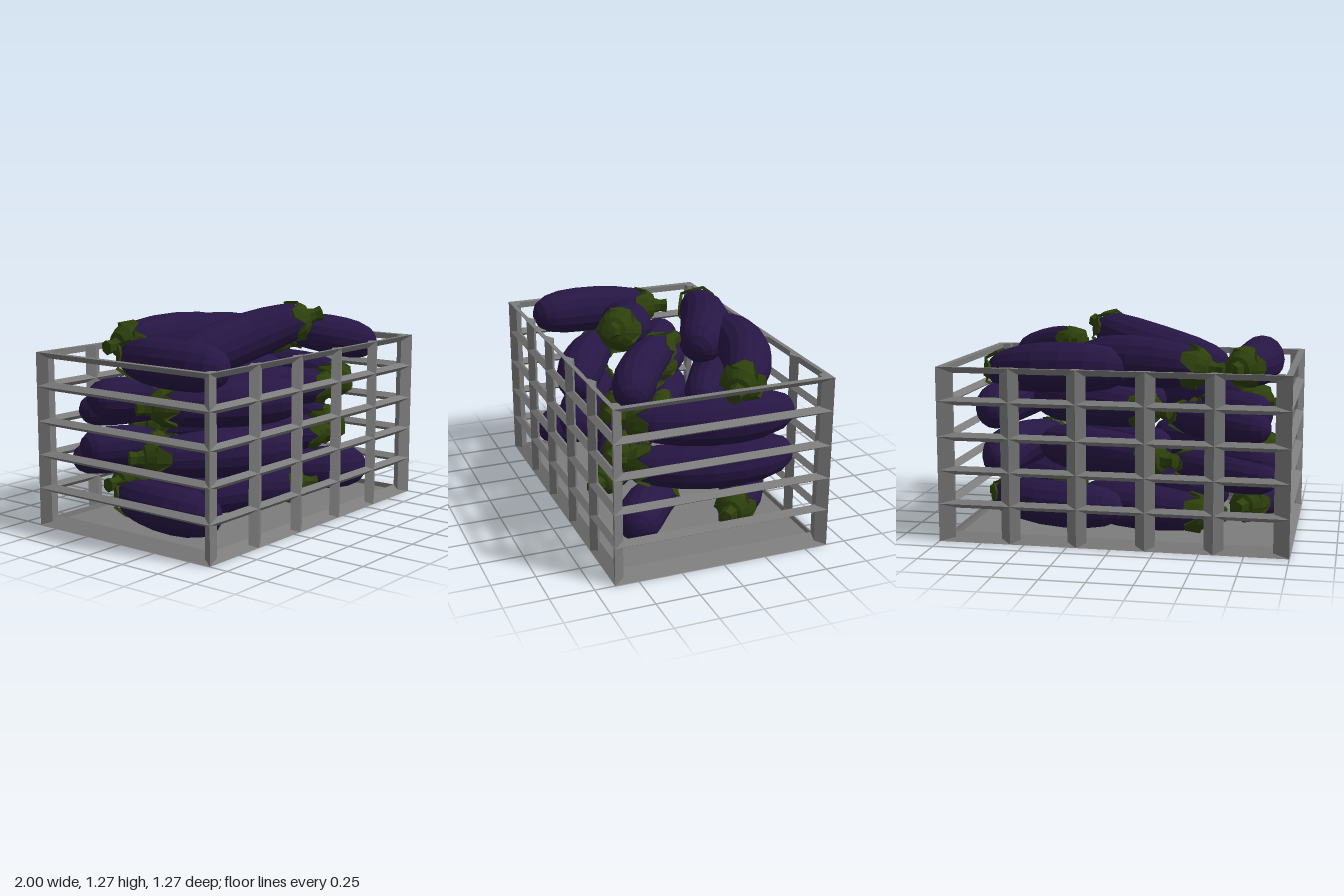
import * as THREE from 'three';

const crateMat = new THREE.MeshStandardMaterial({ color: 0x7c7c7c, flatShading: true });
const skinMat = new THREE.MeshStandardMaterial({ color: 0x261644, flatShading: true });
const leafMat = new THREE.MeshStandardMaterial({ color: 0x2d400c, flatShading: true });

const HX = 1, HZ = 0.635, DX = 0.085, DZ = 0.057, TOP = 1.01;
const v2 = (list) => list.map(([x, y]) => new THREE.Vector2(x, y));

function addMesh(group, name, geometry, material) {
  const mesh = new THREE.Mesh(geometry, material);
  mesh.name = name;
  group.add(mesh);
  return mesh;
}

// Horizontal bar on one side of the crate; section is [fraction inwards, height], ends are mitred
function railGeometry(section, side) {
  const onX = side % 2 === 0;
  const [half, depth, otherHalf, otherDepth] = onX ? [HX, DX, HZ, DZ] : [HZ, DZ, HX, DX];
  const shape = new THREE.Shape(v2(section.map(([f, y]) => [half - f * depth, y])));
  const geo = new THREE.ExtrudeGeometry(shape, { depth: 2, bevelEnabled: false }).translate(0, 0, -1);
  const p = geo.attributes.position;
  for (let i = 0; i < p.count; i++) {
    const inward = (half - p.getX(i)) / depth;
    p.setZ(i, p.getZ(i) * (otherHalf - inward * otherDepth));
  }
  return geo.rotateY((-Math.PI / 2) * side);
}

// Upright bar from a section in x and z
function postGeometry(section) {
  const shape = new THREE.Shape(v2(section.map(([x, z]) => [x, -z])));
  return new THREE.ExtrudeGeometry(shape, { depth: TOP, bevelEnabled: false }).rotateX(-Math.PI / 2);
}

function createCrate() {
  const crate = new THREE.Group();
  crate.name = 'crate';
  const floor = addMesh(crate, 'floor', new THREE.BoxGeometry(2 * (HX - DX), 0.02, 2 * (HZ - DZ)), crateMat);
  floor.position.y = 0.01;
  for (let side = 0; side < 4; side++) {
    addMesh(crate, 'bottomRail', railGeometry([[0, 0], [1, 0], [1, 0.05]], side), crateMat);
    addMesh(crate, 'topRail', railGeometry([[0, TOP], [0.45, TOP], [0.45, TOP - 0.035]], side), crateMat);
    for (const y of [0.22, 0.415, 0.61, 0.815]) {
      addMesh(crate, 'rail', railGeometry([[0, y], [0.5, y + 0.025], [1, y], [0.5, y - 0.025]], side), crateMat);
    }
  }
  for (const s of [-1, 1]) {
    for (const x of [-0.58, -0.195, 0.195, 0.58]) {
      addMesh(crate, 'post', postGeometry([
        [x, s * HZ], [x + 0.056, s * (HZ - DZ / 2)], [x, s * (HZ - DZ)], [x - 0.056, s * (HZ - DZ / 2)],
      ]), crateMat);
    }
    for (const t of [-1, 1]) {
      addMesh(crate, 'cornerPost', postGeometry([
        [s * HX, t * HZ], [s * 0.91, t * 0.61], [s * 0.915, t * 0.578], [s * 0.965, t * 0.575],
      ]), crateMat);
    }
  }
  return crate;
}

// Bends a geometry standing along y onto a curve; y = 0 is the stem end, y = length the blunt end
function bendAlong(geo, curve, length) {
  const p = geo.attributes.position, v = new THREE.Vector3(), up = new THREE.Vector3(0, 1, 0);
  for (let i = 0; i < p.count; i++) {
    v.fromBufferAttribute(p, i);
    const t = THREE.MathUtils.clamp(v.y / length, 0, 1);
    const tangent = curve.getTangent(t);
    const n = new THREE.Vector3().crossVectors(tangent, up).normalize();
    const b = new THREE.Vector3().crossVectors(n, tangent);
    const q = curve.getPoint(t).addScaledVector(tangent, v.y - t * length)
      .addScaledVector(n, v.x).addScaledVector(b, v.z);
    p.setXYZ(i, q.x, q.y, q.z);
  }
  geo.computeVertexNormals();
  return geo;
}

function createEggplant([sx, sy, sz], [ex, ey, ez], bend, r) {
  const group = new THREE.Group();
  group.name = 'eggplant';
  const start = new THREE.Vector3(sx, sy, sz), end = new THREE.Vector3(ex, ey, ez);
  const mid = start.clone().lerp(end, 0.5).add(new THREE.Vector3(...bend));
  const curve = new THREE.QuadraticBezierCurve3(start, mid, end);
  const length = curve.getLength();

  // Plump body, a little narrower at the neck
  const profile = [[0, 0], [0.42, 0.005], [0.66, 0.05], [0.82, 0.14], [0.93, 0.28], [0.99, 0.45], [1, 0.62],
    [0.96, 0.76], [0.83, 0.88], [0.6, 0.955], [0.3, 0.99], [0, 1]];
  const body = new THREE.LatheGeometry(v2(profile.map(([a, t]) => [a * r, t * length])), 16);
  addMesh(group, 'body', bendAlong(body, curve, length), skinMat);

  // Calyx whose rim is cut into five square lobes
  const calyx = new THREE.LatheGeometry(v2([[0.25, -0.025], [0.5, -0.015], [0.74, 0.03], [0.88, 0.1], [0.74, 0.1]]
    .map(([a, y]) => [a * r, y])), 15);
  const p = calyx.attributes.position;
  for (let i = 0; i < p.count; i++) {
    const column = Math.floor(i / 5);
    if (i % 5 >= 3 && column % 3 === 2) p.setY(i, 0.035);
  }
  addMesh(group, 'calyx', bendAlong(calyx, curve, length), leafMat);

  // Stubby stem flaring at its cut end
  const stem = new THREE.LatheGeometry(v2([[0, -0.105], [0.045, -0.1], [0.038, -0.06], [0.055, 0]]), 6);
  addMesh(group, 'stem', bendAlong(stem, curve, length), leafMat);
  return group;
}

// Stem end, blunt end, bend and radius; heights are relative to the layer
const bottomLayer = [
  [[-0.71, 0, -0.22], [-0.78, 0, 0.53], [-0.12, 0, 0], 0.135],
  [[-0.53, 0, -0.44], [0.24, 0, -0.14], [0.1, 0, -0.1], 0.135],
  [[0.76, 0, -0.15], [-0.05, 0, -0.41], [0.1, 0, -0.18], 0.135],
  [[0.12, 0, 0.41], [-0.59, 0, 0.08], [0.1, 0, -0.1], 0.135],
  [[0.36, 0, 0.08], [0.78, 0, 0.42], [-0.04, 0, 0.08], 0.135],
];
const middleLayer = [
  [[0.57, 0, 0.38], [0.68, 0, -0.54], [0.21, 0, 0.02], 0.14],
  [[-0.8, 0, 0.08], [-0.03, 0, 0.49], [0.02, 0, 0.1], 0.14],
  [[-0.46, 0, -0.11], [-0.87, 0, -0.35], [0.02, 0, -0.06], 0.12],
  [[-0.28, -0.05, -0.12], [-0.87, -0.07, -0.42], [0.02, 0, -0.06], 0.11],
  [[-0.22, 0.03, -0.46], [0.55, 0.03, -0.04], [0.06, 0, -0.03], 0.135],
  [[0.4, 0, 0.42], [-0.2, 0, 0.06], [0.06, 0, -0.08], 0.125],
];
const topLayer = [
  [[-0.67, 0, -0.22], [-0.72, 0, 0.54], [-0.12, 0, 0], 0.14],
  [[-0.51, 0.03, -0.45], [0.27, 0, -0.13], [0.1, 0.06, -0.1], 0.15],
  [[0.78, -0.05, -0.17], [-0.08, 0.01, -0.41], [0.1, 0.05, -0.19], 0.145],
  [[0.24, 0.18, 0.35], [-0.59, -0.04, 0.06], [0.1, 0, -0.13], 0.145],
  [[0.35, 0.1, 0.09], [0.81, -0.03, 0.46], [-0.04, 0.02, 0.1], 0.12],
];

export function createModel() {
  const model = new THREE.Group();
  model.name = 'crateOfEggplants';
  model.add(createCrate());

  const fill = new THREE.Group();
  fill.name = 'eggplants';
  model.add(fill);
  const addLayer = (layer, dx, y, dz) => layer.forEach(([s, e, bend, r]) => {
    fill.add(createEggplant([s[0] + dx, y + s[1], s[2] + dz], [e[0] + dx, y + e[1], e[2] + dz], bend, r));
  });
  addLayer(bottomLayer, 0, 0.19, 0);
  addLayer(middleLayer, -0.04, 0.465, -0.02);
  addLayer(middleLayer, 0, 0.745, 0);
  addLayer(topLayer, 0, 0.985, 0);
  return model;
}
